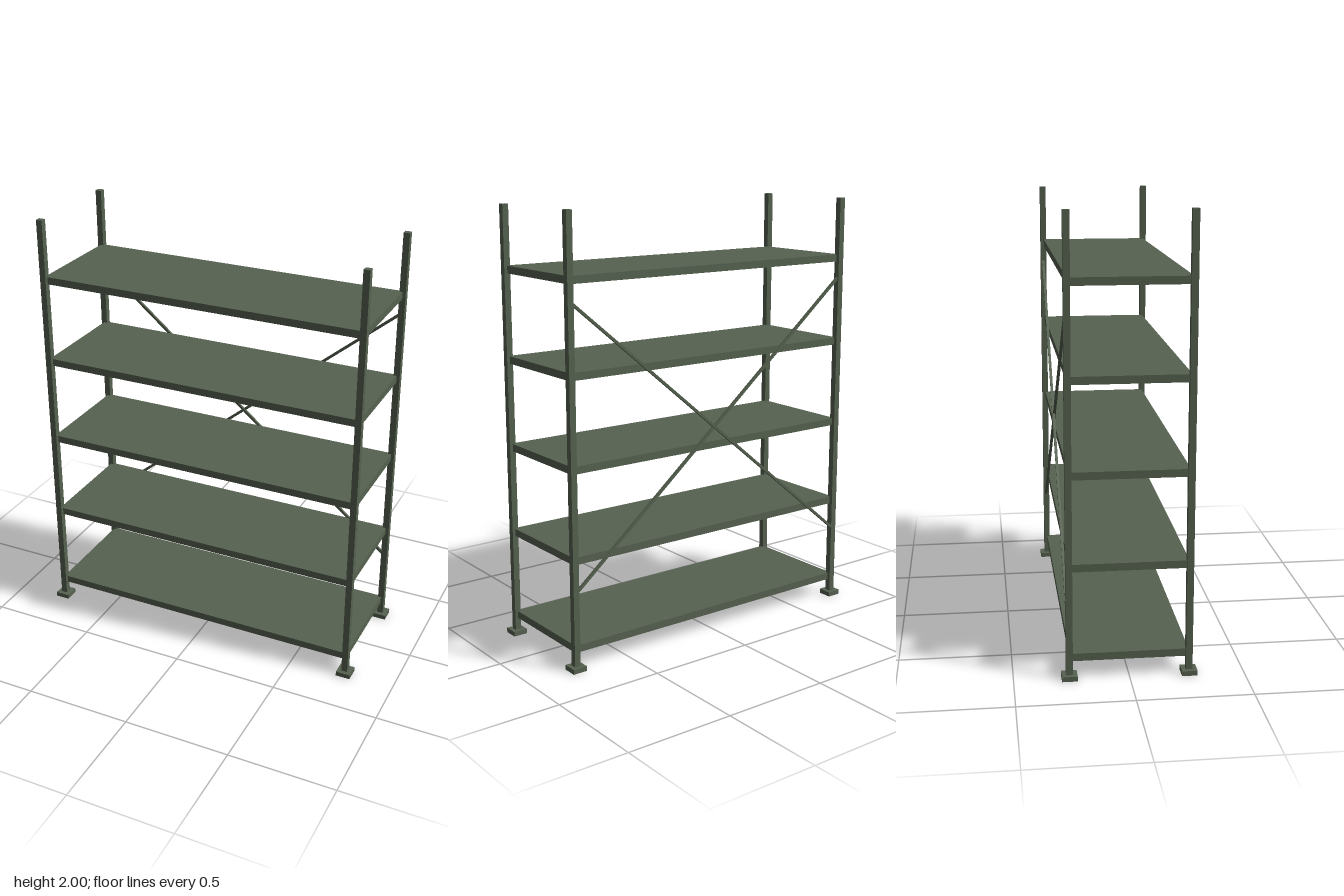
import * as THREE from 'three';

export function createModel() {
  const model = new THREE.Group();
  model.name = 'shelvingUnit';
  const steel = new THREE.MeshStandardMaterial({ color: 0x566250 });
  steel.name = 'greenSteel';

  const box = (name, size, pos, parent = model) => {
    const mesh = new THREE.Mesh(new THREE.BoxGeometry(...size), steel);
    mesh.name = name;
    mesh.position.set(...pos);
    parent.add(mesh);
    return mesh;
  };

  const postX = 0.765, postZ = 0.26;

  // Four uprights, each on a square foot plate
  for (const sx of [-1, 1]) {
    for (const sz of [-1, 1]) {
      const upright = new THREE.Group();
      upright.name = (sz > 0 ? 'front' : 'back') + (sx > 0 ? 'Left' : 'Right') + 'Upright';
      upright.position.set(sx * postX, 0, sz * postZ);
      box('post', [0.029, 2, 0.029], [0, 1, 0], upright);
      box('footPlate', [0.068, 0.022, 0.068], [0, 0.011, 0], upright);
      model.add(upright);
    }
  }

  // Five evenly spaced shelves running between post centres
  for (let i = 0; i < 5; i++) {
    box(`shelf${i + 1}`, [2 * postX, 0.034, 0.516], [0, 0.096 + i * 0.4045, 0]);
  }

  // Crossed back braces: thin bars stretched between two points
  const brace = (name, from, to) => {
    const a = new THREE.Vector3(...from), b = new THREE.Vector3(...to);
    const mid = a.clone().add(b).multiplyScalar(0.5);
    const bar = box(name, [0.012, 0.012, a.distanceTo(b)], mid.toArray());
    bar.lookAt(b);
  };
  brace('risingBrace', [-0.765, 0.352, -0.271], [0.765, 1.627, -0.262]);
  brace('fallingBrace', [-0.765, 1.627, -0.262], [0.765, 0.352, -0.262]);

  return model;
}
